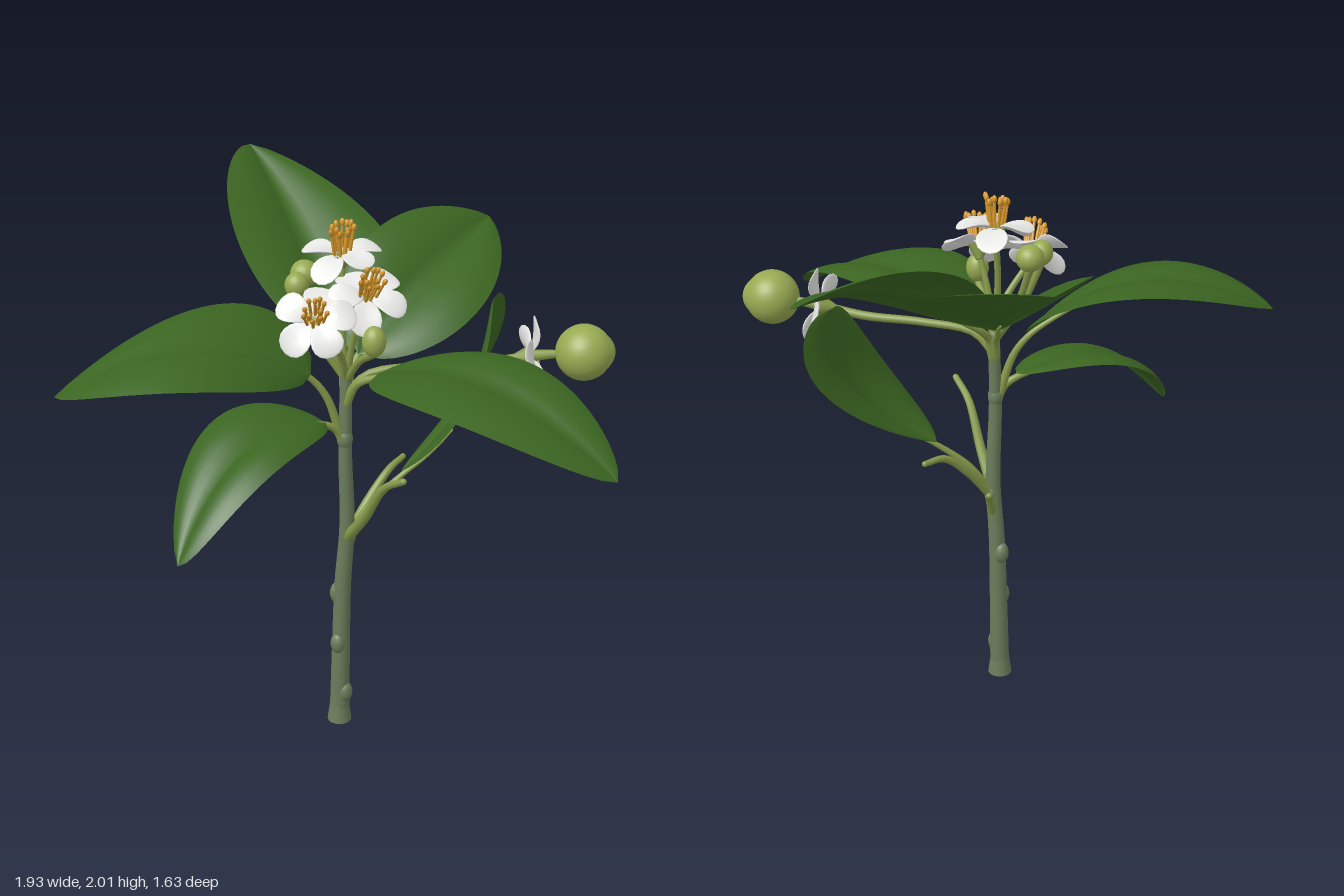
import * as THREE from 'three';

const V = (p) => new THREE.Vector3(...p);
const mat = (name, color, side = THREE.FrontSide) => {
  const m = new THREE.MeshStandardMaterial({ color, side });
  m.name = name;
  return m;
};

export function createModel() {
  const root = new THREE.Group();
  root.name = 'floweringBranch';
  const M = {
    leaf: mat('leafGreen', 0x3b6521, THREE.DoubleSide),
    bark: mat('barkGreen', 0x6b7d5b),
    stalk: mat('stalkGreen', 0x86994a),
    fruit: mat('fruitGreen', 0x98aa52),
    petal: mat('petalWhite', 0xe8e8e6),
    gold: mat('stamenGold', 0xd99a2c),
    tip: mat('antherAmber', 0xc88a22),
  };
  const add = (parent, name, geo, material, pos) => {
    const m = new THREE.Mesh(geo, material);
    m.name = name;
    if (pos) m.position.set(...pos);
    parent.add(m);
    return m;
  };

  // Tapered tube with a rounded end
  const tube = (name, pts, r0, r1, material, seg = 16, sides = 10) => {
    const curve = new THREE.CatmullRomCurve3(pts.map(V));
    const g = new THREE.TubeGeometry(curve, seg, r0, sides, false);
    const p = g.attributes.position, v = new THREE.Vector3();
    for (let i = 0; i < p.count; i++) {
      const t = Math.floor(i / (sides + 1)) / seg;
      const c = curve.getPointAt(t);
      v.fromBufferAttribute(p, i).sub(c).multiplyScalar(1 + (r1 / r0 - 1) * t).add(c);
      p.setXYZ(i, v.x, v.y, v.z);
    }
    add(root, name, g, material);
    add(root, name + 'End', new THREE.SphereGeometry(r1, sides, 8), material, pts[pts.length - 1]);
  };

  // Stem with flared foot and knots
  tube('stem', [[0.003, 0, 0.1], [0.008, 0.3, 0.1], [0.015, 0.6, 0.1], [0.03, 0.85, 0.105],
    [0.022, 1.15, 0.11], [0.025, 1.45, 0.1]], 0.038, 0.021, M.bark, 32, 16);
  const foot = new THREE.CylinderGeometry(0.034, 0.046, 0.09, 16);
  add(root, 'stemFoot', foot, M.bark, [0.003, 0.045, 0.1]);
  [[-0.004, 0.55, 0.085], [-0.003, 0.35, 0.117], [0.023, 0.13, 0.115], [0.035, 0.8, 0.1],
    [0.021, 1.2, 0.11]].forEach((p, i) =>
    add(root, 'knot' + i, new THREE.SphereGeometry(0.029, 14, 10), M.bark, p).scale.set(1, 1.5, 1));

  // Leaf: arched midrib, two half blades passing through the given edge points, shape = [base, tip] fullness
  const leaf = (name, base, mid, tip, edges, stalk, [fa, fb]) => {
    const b = V(base), m = V(mid), e = V(tip);
    const ctrl = m.clone().multiplyScalar(2).addScaledVector(b, -0.5).addScaledVector(e, -0.5);
    const rib = new THREE.QuadraticBezierCurve3(b, ctrl, e);
    const s0 = V(edges[0]).sub(m), s1 = V(edges[1]).sub(m);
    const up = s0.clone().sub(s1).cross(e.clone().sub(b)).normalize();
    if (up.y < 0) up.negate();
    const shape = (t) => Math.pow(t, fa) * Math.pow(1 - t, fb);
    const peak = shape(fa / (fa + fb));
    const NT = 32, NS = 6, row = 2 * NS + 1, pos = [], idx = [];
    for (let i = 0; i <= NT; i++) {
      const t = i / NT, w = shape(t) / peak, c = rib.getPoint(t);
      for (let j = -NS; j <= NS; j++) {
        const s = Math.abs(j) / NS;
        const q = c.clone().addScaledVector(j < 0 ? s0 : s1, w * s)
          .addScaledVector(up, 0.1 * w * s * (1 - s));
        pos.push(q.x, q.y, q.z);
        if (i < NT && j < NS) {
          const a = i * row + j + NS, d = a + row;
          idx.push(a, d, a + 1, a + 1, d, d + 1);
        }
      }
    }
    const g = new THREE.BufferGeometry();
    g.setAttribute('position', new THREE.Float32BufferAttribute(pos, 3));
    g.setIndex(idx);
    g.computeVertexNormals();
    add(root, name, g, M.leaf);
    // Stalk continuing below the blade as a short rib
    const under = [0, 0.1, 0.2, 0.3].map((t) => rib.getPoint(t).addScaledVector(up, -0.014).toArray());
    tube(name + 'Stalk', [...stalk, ...under], 0.018, 0.004, M.stalk, 24);
  };
  leaf('leftLeaf', [-0.1, 1.46, 0.13], [-0.52, 1.625, 0.26], [-0.97, 1.5, 0.36],
    [[-0.42, 1.665, -0.04], [-0.54, 1.59, 0.55]], [[0.01, 1.2, 0.11], [-0.045, 1.37, 0.12]], [0.6, 0.78]);
  leaf('backLeaf', [0, 1.5, 0.02], [-0.09, 1.735, -0.38], [-0.29, 2, -0.83],
    [[-0.37, 1.87, -0.33], [0.22, 1.77, -0.38]], [[0.02, 1.36, 0.1], [0.015, 1.44, 0.07]], [0.55, 0.78]);
  leaf('backRightLeaf', [0.07, 1.5, 0.05], [0.36, 1.71, -0.22], [0.6, 1.79, -0.56],
    [[0.18, 1.855, -0.32], [0.54, 1.64, -0.08]], [[0.03, 1.36, 0.1], [0.04, 1.44, 0.08]], [0.58, 0.82]);
  leaf('frontRightLeaf', [0.13, 1.47, 0.16], [0.48, 1.545, 0.45], [0.87, 1.34, 0.77],
    [[0.655, 1.56, 0.31], [0.305, 1.54, 0.69]], [[0.025, 1.34, 0.11], [0.06, 1.42, 0.13]], [0.6, 0.75]);
  leaf('lowerLeftLeaf', [-0.05, 1.28, 0.14], [-0.36, 1.27, 0.36], [-0.57, 0.99, 0.63],
    [[-0.46, 1.31, 0.2], [-0.26, 1.245, 0.5]], [[0.02, 1.17, 0.11], [-0.01, 1.24, 0.12]], [0.6, 0.7]);
  leaf('lowerRightLeaf', [0.23, 1.03, 0.04], [0.49, 1.28, -0.06], [0.57, 1.62, -0.15],
    [[0.585, 1.36, -0.27], [0.455, 1.33, 0.13]], [[0.04, 0.8, 0.1], [0.12, 0.92, 0.08]], [0.7, 0.6]);

  // Bare leaf stalks
  tube('frontStub', [[0.03, 0.8, 0.11], [0.09, 0.93, 0.2], [0.15, 1.09, 0.29], [0.21, 1.15, 0.36]],
    0.022, 0.012, M.stalk);
  tube('backStub', [[0.04, 0.8, 0.1], [0.11, 0.91, 0.04], [0.19, 1, -0.03], [0.25, 1.015, -0.11]],
    0.022, 0.011, M.stalk);
  tube('smallStub', [[0.03, 0.73, 0.09], [0.035, 0.81, 0.04], [0.03, 0.84, 0]], 0.02, 0.012, M.stalk);

  // Petal: thin rounded blade, broad outside, raised by lift and curling over at its end
  const petalGeo = (lift) => {
    const g = new THREE.SphereGeometry(1, 18, 12);
    g.scale(0.064, 0.008, 0.052);
    g.translate(0.078, 0, 0);
    const p = g.attributes.position;
    for (let i = 0; i < p.count; i++) {
      const x = p.getX(i), z = p.getZ(i);
      p.setZ(i, z * (0.6 + 5.5 * x));
      p.setY(i, p.getY(i) + lift * x + 4 * z * z - 2.5 * x * x);
    }
    g.computeVertexNormals();
    return g;
  };
  const flower = (name, pos, dir, lifts, stamens, spin) => {
    const f = new THREE.Group();
    f.name = name;
    f.position.set(...pos);
    f.quaternion.setFromUnitVectors(new THREE.Vector3(0, 1, 0), V(dir).normalize());
    root.add(f);
    add(f, 'calyx', new THREE.CylinderGeometry(0.038, 0.013, 0.055, 12), M.stalk, [0, -0.026, 0]);
    for (let i = 0; i < 5; i++)
      add(f, 'petal' + i, petalGeo(lifts[i % 2]), M.petal).rotation.y = spin + i * Math.PI * 0.4;
    const fil = new THREE.CylinderGeometry(0.005, 0.006, 0.085, 8);
    const ball = new THREE.SphereGeometry(0.009, 10, 8);
    ball.scale(1, 1.6, 1);
    for (let i = 0; i < stamens; i++) {
      const s = new THREE.Group();
      s.name = 'stamen' + i;
      const a = i * 2.4, r = 0.03 * Math.sqrt((i + 0.5) / stamens);
      s.position.set(Math.cos(a) * r, 0, Math.sin(a) * r);
      s.rotation.set(Math.sin(a) * 0.15, 0, -Math.cos(a) * 0.15);
      const h = 0.01 * (i % 3);
      add(s, 'filament', fil, M.gold, [0, 0.042 + h, 0]);
      add(s, 'anther', ball, i % 3 ? M.gold : M.tip, [0, 0.088 + h, 0]);
      f.add(s);
    }
  };
  const top = [0.025, 1.42, 0.1];
  flower('topFlower', [0.012, 1.878, 0.06], [0, 1, 0.1], [0.35, -0.05], 11, 0.3);
  flower('middleFlower', [0.092, 1.765, 0.175], [0.15, 0.85, 0.5], [0.35, 0.05], 11, 0.9);
  flower('frontFlower', [-0.09, 1.718, 0.27], [-0.03, 0.68, 0.72], [0.35, 0.05], 11, 0.1);
  flower('sideFlower', [0.665, 1.515, 0.13], [1, 0.12, 0.05], [0.55, 0.2], 0, 0.5);
  tube('topFlowerStalk', [top, [0.01, 1.65, 0.09], [0.012, 1.84, 0.06]], 0.014, 0.011, M.stalk);
  tube('middleFlowerStalk', [top, [0.05, 1.6, 0.13], [0.085, 1.73, 0.16]], 0.014, 0.011, M.stalk);
  tube('frontFlowerStalk', [top, [0, 1.55, 0.16], [-0.088, 1.69, 0.24]], 0.014, 0.011, M.stalk);
  tube('sideFlowerStalk', [[0.025, 1.37, 0.1], [0.1, 1.45, 0.11], [0.28, 1.478, 0.115],
    [0.5, 1.488, 0.12], [0.63, 1.508, 0.128]], 0.013, 0.017, M.stalk);

  // Fruit with a small point at its outer end
  const fruit = new THREE.SphereGeometry(0.1, 32, 24);
  const fp = fruit.attributes.position;
  for (let i = 0; i < fp.count; i++) {
    const y = fp.getY(i);
    if (y > 0.08) fp.setY(i, y + (y - 0.08) * 0.5);
  }
  fruit.computeVertexNormals();
  add(root, 'fruit', fruit, M.fruit, [0.853, 1.532, 0.147]).rotation.z = -Math.PI / 2;
  tube('fruitNeck', [[0.66, 1.515, 0.13], [0.71, 1.52, 0.135], [0.77, 1.525, 0.14]], 0.022, 0.014, M.stalk);

  // Buds on their stalks
  [[0.11, 1.64, 0.27, 0.042, 0.055], [-0.115, 1.79, 0.005, 0.05, 0.048],
    [-0.145, 1.78, 0.09, 0.042, 0.046]].forEach(([x, y, z, r, h], i) => {
    add(root, 'bud' + i, new THREE.SphereGeometry(1, 18, 14), M.fruit, [x, y, z]).scale.set(r, h, r);
    tube('budStalk' + i, [top, [x * 0.6, (y + 1.42) / 2, 0.05 + z * 0.5], [x, y - h * 0.85, z]],
      0.012, 0.014, M.stalk);
  });
  return root;
}
